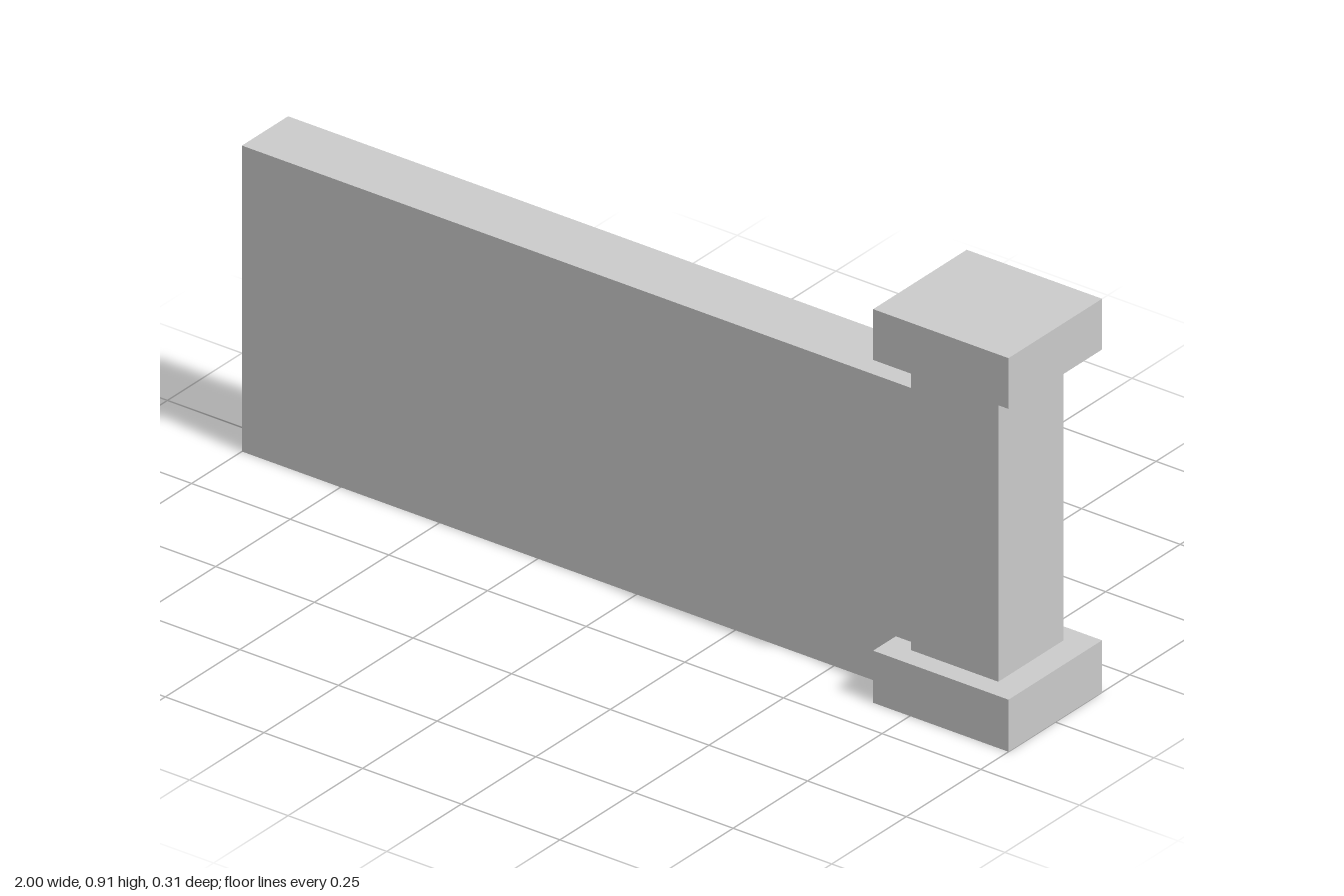
import * as THREE from 'three';

export function createModel() {
  const group = new THREE.Group();
  const material = new THREE.MeshStandardMaterial({ color: 0xcccccc, flatShading: true });

  // Adds a box from its extents along each axis.
  const box = (name, [x0, x1], [y0, y1], [z0, z1]) => {
    const mesh = new THREE.Mesh(new THREE.BoxGeometry(x1 - x0, y1 - y0, z1 - z0), material);
    mesh.position.set((x0 + x1) / 2, (y0 + y1) / 2, (z0 + z1) / 2);
    mesh.name = name;
    group.add(mesh);
  };

  // Wall panel running into the pillar
  box('wall', [-1, 0.73], [0, 0.705], [-0.074, 0.081]);

  // Pillar: wide base, narrower shaft, wide cap
  const wideX = [0.657, 1], wideZ = [-0.157, 0.157];
  box('pillarBase', wideX, [0, 0.12], wideZ);
  box('pillarShaft', [0.717, 0.938], [0.12, 0.79], [-0.109, 0.109]);
  box('pillarCap', wideX, [0.79, 0.907], wideZ);

  return group;
}
